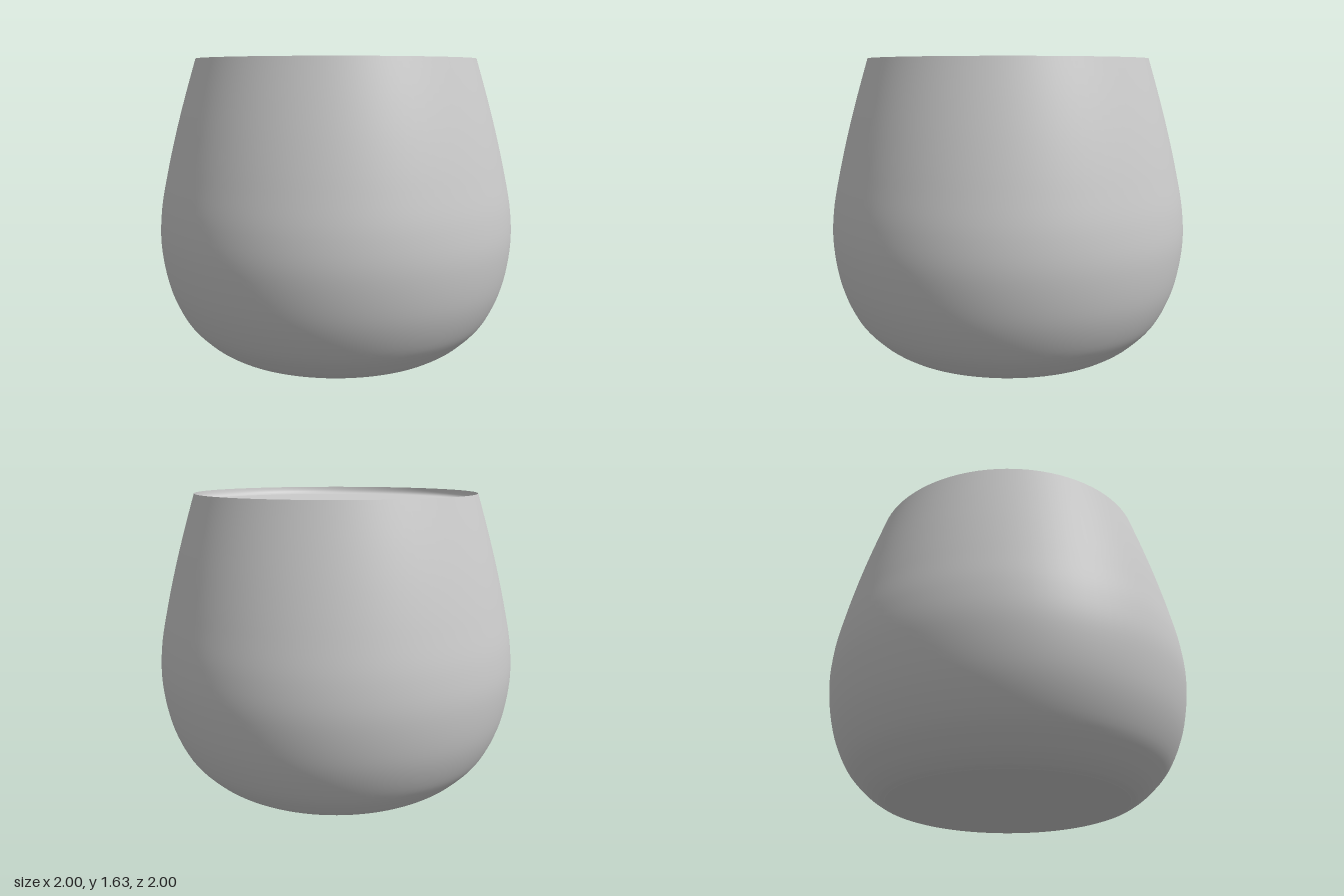
import * as THREE from 'three';

const SEGMENTS = 96;
const vec = ([r, y]) => new THREE.Vector2(r, y);

export function createModel() {
  const group = new THREE.Group();
  const material = new THREE.MeshStandardMaterial({ color: 0xcccccc, side: THREE.DoubleSide });

  const addLathe = (name, points) => {
    const mesh = new THREE.Mesh(new THREE.LatheGeometry(points, SEGMENTS), material);
    mesh.name = name;
    group.add(mesh);
  };

  // Bulging outer wall, from the foot to the rim
  const wall = new THREE.SplineCurve([
    [0.66, 0.003], [0.7, 0.018], [0.78, 0.076], [0.88, 0.19], [0.96, 0.375],
    [0.998, 0.6], [0.99, 0.8], [0.95, 1.01], [0.9, 1.22], [0.845, 1.42], [0.782, 1.63],
  ].map(vec));
  addLathe('outerWall', wall.getPoints(60));

  // Flat underside
  addLathe('base', [[0, 0], [0.655, 0], [0.66, 0.003]].map(vec));

  // Inner lip: short wall rounding into the contents
  const lip = new THREE.CubicBezierCurve(
    vec([0.782, 1.63]), vec([0.779, 1.605]), vec([0.775, 1.588]), vec([0.745, 1.586]));
  addLathe('innerLip', lip.getPoints(10));

  // Level surface of the contents
  addLathe('fillSurface', [[0.745, 1.586], [0, 1.586]].map(vec));

  return group;
}
